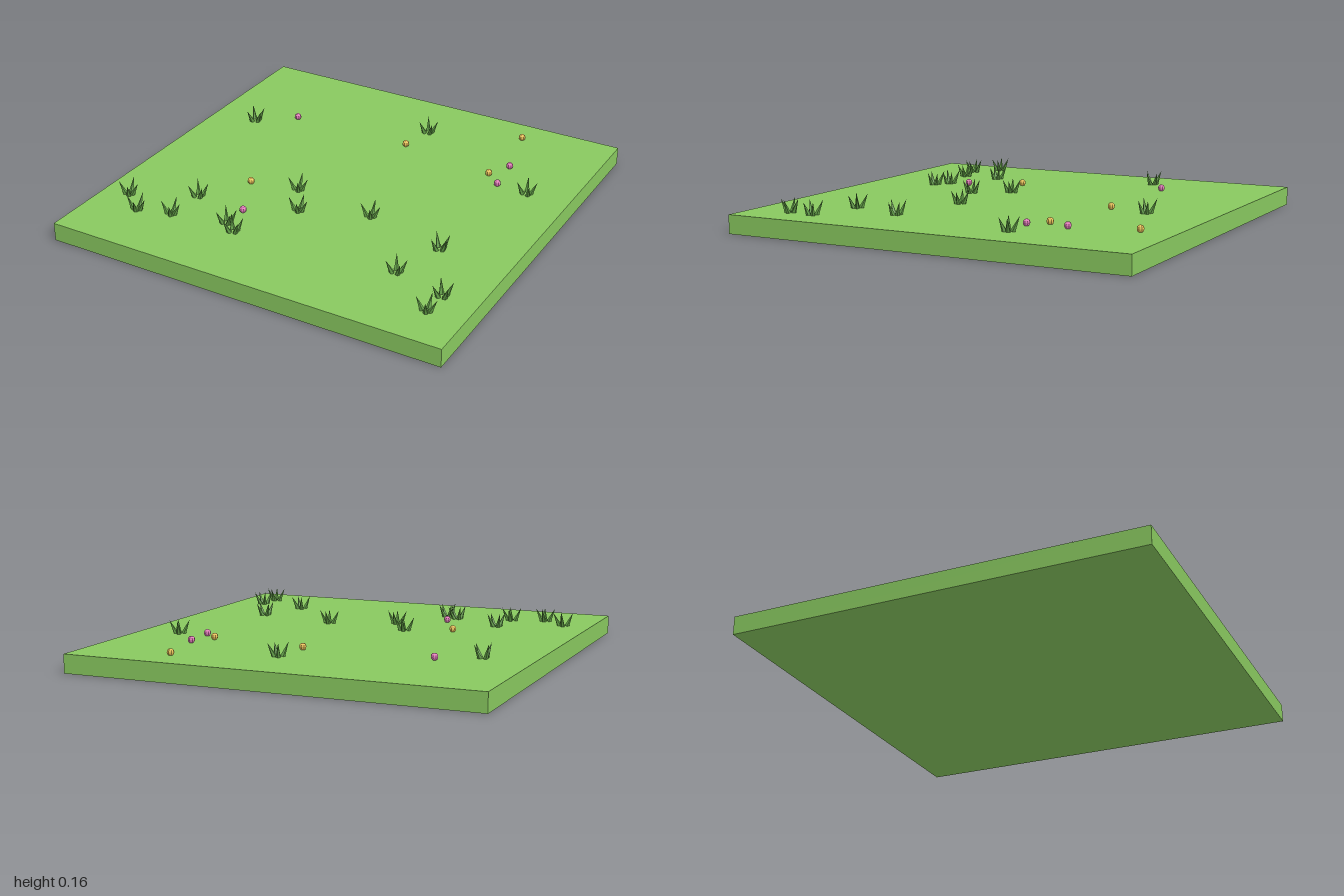
import * as THREE from 'three';

const material = (name, color, flatShading = false) => {
  const m = new THREE.MeshStandardMaterial({ color, flatShading });
  m.name = name;
  return m;
};

export function createModel() {
  const turf = material('turf green', 0x88c85f);
  const blade = material('blade green', 0x5f9a45, true);
  const pink = material('pink', 0xe07ab8, true);
  const yellow = material('yellow', 0xf2c95c, true);

  const model = new THREE.Group();
  model.name = 'meadowTile';
  const top = 0.09;

  // Square slab of turf
  const ground = new THREE.Mesh(new THREE.BoxGeometry(2, top, 2), turf);
  ground.name = 'ground';
  ground.position.y = top / 2;
  model.add(ground);

  // One blade: a slim five-sided cone standing on its base
  const bladeGeometry = new THREE.ConeGeometry(0.0125, 0.076, 5);
  bladeGeometry.translate(0, 0.038, 0);

  // Blades of a tuft: heading in degrees (anticlockwise from +x), lean, height scale
  const blades = [[95, 0.42, 1], [10, 0.46, 0.95], [-60, 0.4, 0.9], [-160, 0.42, 0.95]];

  // Tufts: x, z, turn in degrees
  const tufts = [
    [0.085, -0.675, 20], [-0.765, -0.35, 40], [0.785, -0.335, 10], [-0.185, 0.17, 0],
    [0.24, 0.22, -5], [-0.08, 0.34, -10], [0.65, 0.32, 40], [-0.565, 0.46, 30],
    [-0.865, 0.605, 0], [-0.58, 0.66, -5], [-0.745, 0.705, -10], [-0.31, 0.6, 30],
    [-0.24, 0.65, 35], [0.57, 0.585, 20], [0.83, 0.655, 30], [0.82, 0.785, -10],
  ];
  for (const [x, z, turn] of tufts) {
    const tuft = new THREE.Group();
    tuft.name = 'grassTuft';
    tuft.position.set(x, top, z);
    for (const [heading, lean, scale] of blades) {
      const arm = new THREE.Group();
      arm.name = 'bladeArm';
      arm.rotation.y = THREE.MathUtils.degToRad(heading + turn);
      const mesh = new THREE.Mesh(bladeGeometry, blade);
      mesh.name = 'grassBlade';
      mesh.position.x = 0.018;
      mesh.rotation.z = -lean;
      mesh.scale.y = scale;
      arm.add(mesh);
      tuft.add(arm);
    }
    model.add(tuft);
  }

  // Round flower heads resting on the turf
  const flowerGeometry = new THREE.SphereGeometry(0.0175, 8, 6);
  const addFlowers = (name, mat, spots) => {
    for (const [x, z] of spots) {
      const flower = new THREE.Mesh(flowerGeometry, mat);
      flower.name = name;
      flower.position.set(x, top + 0.015, z);
      model.add(flower);
    }
  };
  addFlowers('pinkFlower', pink, [[-0.58, -0.475], [0.61, -0.53], [0.63, -0.34], [-0.297, 0.48]]);
  addFlowers('yellowFlower', yellow, [[0.54, -0.84], [0.055, -0.485], [0.55, -0.415], [-0.415, 0.23]]);

  return model;
}
